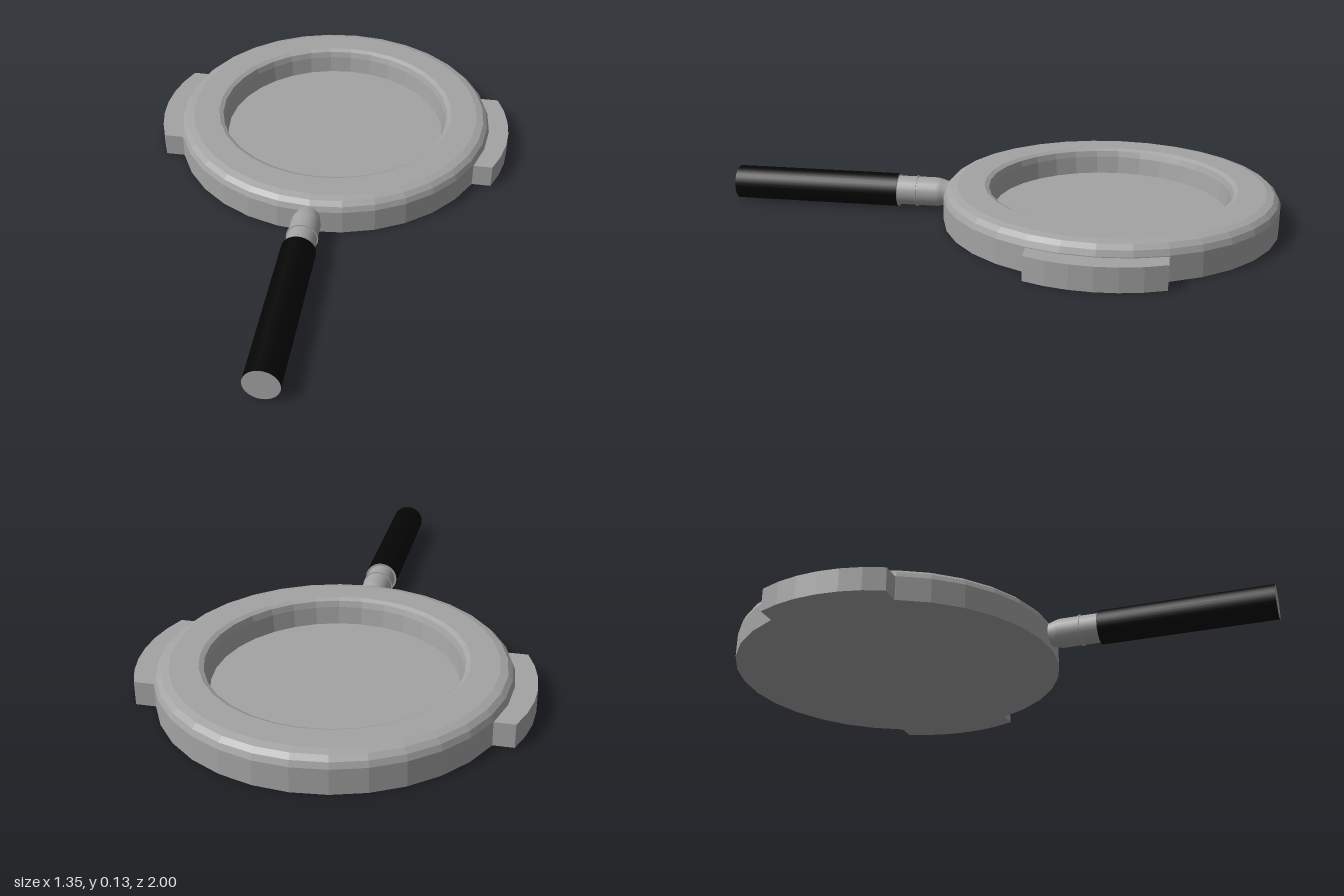
import * as THREE from 'three';

const grey = new THREE.MeshStandardMaterial({ color: 0xa3a3a3, flatShading: true });
const smoothGrey = new THREE.MeshStandardMaterial({ color: 0xa3a3a3 });
const black = new THREE.MeshStandardMaterial({ color: 0x050505 });

const BODY_Z = -0.4;
const HANDLE_X = -0.004;
const HANDLE_Y = 0.063;

function lathe(points, sides) {
  return new THREE.LatheGeometry(points.map(([r, y]) => new THREE.Vector2(r, y)), sides);
}

function add(group, name, geometry, material, x, y, z) {
  const mesh = new THREE.Mesh(geometry, material);
  mesh.name = name;
  mesh.position.set(x, y, z);
  group.add(mesh);
}

// Curved lug: straight ends and a bowed outer edge
function lugGeometry(side) {
  const radius = 0.543, tip = 0.675, inner = 0.5, half = 0.228, steps = 6;
  const sweep = Math.asin(half / radius);
  const shape = new THREE.Shape();
  shape.moveTo(side * inner, -half);
  for (let i = 0; i <= steps; i++) {
    const a = -sweep + (2 * sweep * i) / steps;
    shape.lineTo(side * (tip - radius + radius * Math.cos(a)), radius * Math.sin(a));
  }
  shape.lineTo(side * inner, half);
  shape.closePath();
  const geometry = new THREE.ExtrudeGeometry(shape, { depth: 0.085, bevelEnabled: false });
  return geometry.rotateX(-Math.PI / 2);
}

export function createModel() {
  const group = new THREE.Group();
  group.name = 'filterHolder';

  // Round dish with a rounded rim and a sunken floor
  const dish = lathe([
    [0, 0], [0.6, 0], [0.6, 0.088], [0.592, 0.108], [0.576, 0.123], [0.55, 0.13],
    [0.452, 0.13], [0.436, 0.122], [0.429, 0.1], [0.42, 0.037], [0, 0.037],
  ], 32);
  add(group, 'dish', dish, grey, 0, 0, BODY_Z);

  // Locking lugs on both sides
  add(group, 'leftLug', lugGeometry(1), grey, 0, 0, BODY_Z);
  add(group, 'rightLug', lugGeometry(-1), grey, 0, 0, BODY_Z);

  // Neck, flared out of the dish wall
  const neck = lathe([
    [0.038, 0.16], [0.042, 0.195], [0.049, 0.217], [0.053, 0.235], [0.053, 0.385],
  ], 24).rotateX(Math.PI / 2);
  add(group, 'neck', neck, smoothGrey, HANDLE_X, HANDLE_Y, 0);

  // Thin ring around the neck
  const ring = new THREE.CylinderGeometry(0.057, 0.057, 0.005, 24).rotateX(Math.PI / 2);
  add(group, 'neckRing', ring, smoothGrey, HANDLE_X, HANDLE_Y, 0.311);

  // Black grip with plain end caps
  const grip = new THREE.CylinderGeometry(0.061, 0.061, 0.62, 32).rotateX(Math.PI / 2);
  add(group, 'grip', grip, [black, smoothGrey, smoothGrey], HANDLE_X, HANDLE_Y, 0.69);

  return group;
}
